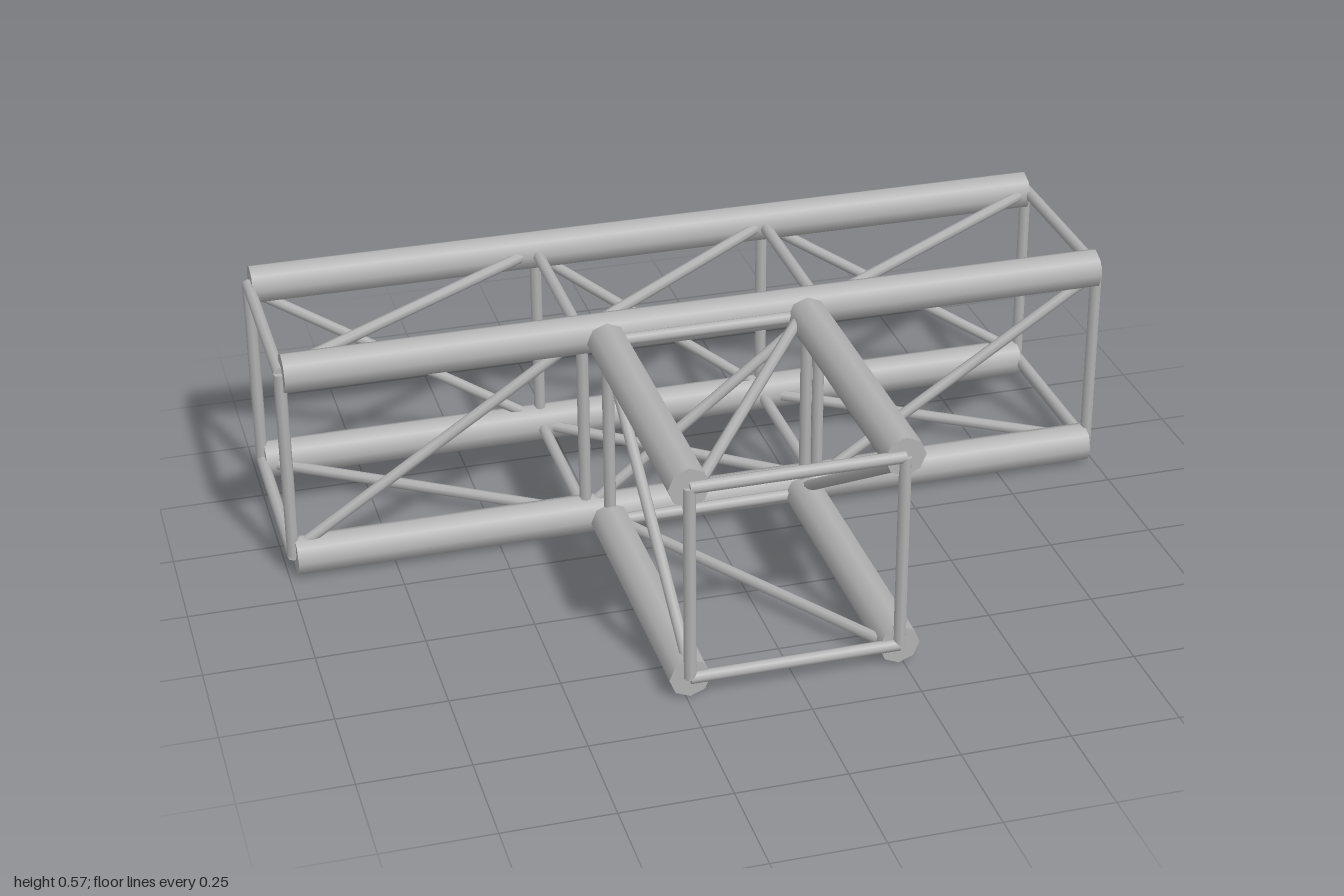
import * as THREE from 'three';

export function createModel() {
  const model = new THREE.Group();
  const steel = new THREE.MeshStandardMaterial({ color: 0xb2b2b2 });
  steel.name = 'steel grey';

  const UP = new THREE.Vector3(0, 1, 0);
  const LOW = 0.048, HIGH = 0.524;     // chord heights
  const FRONT = -0.122, BACK = -0.593; // main beam chord depths
  const SIDE = 0.24;                   // branch chord offset
  const CHORD = 0.047, STRUT = 0.0145, BRACE = 0.0135;

  // Round tube between two points
  function tube(name, a, b, radius, parent) {
    const from = new THREE.Vector3(...a), to = new THREE.Vector3(...b);
    const dir = to.clone().sub(from);
    const mesh = new THREE.Mesh(new THREE.CylinderGeometry(radius, radius, dir.length(), 8), steel);
    mesh.quaternion.setFromUnitVectors(UP, dir.normalize());
    mesh.position.copy(from).add(to).multiplyScalar(0.5);
    mesh.name = name;
    parent.add(mesh);
  }

  // Closed rectangle of struts through four corners
  function frame(name, corners, parent) {
    const group = new THREE.Group();
    group.name = name;
    corners.forEach((c, i) => tube('strut', c, corners[(i + 1) % 4], STRUT, group));
    parent.add(group);
  }

  // Main beam along x
  const beam = new THREE.Group();
  beam.name = 'mainBeam';
  model.add(beam);
  for (const y of [LOW, HIGH])
    for (const z of [FRONT, BACK]) tube('beamChord', [-0.98, y, z], [0.98, y, z], CHORD, beam);

  for (const x of [-0.985, -0.287, 0.287, 0.985])
    frame('beamFrame', [[x, LOW, FRONT], [x, HIGH, FRONT], [x, HIGH, BACK], [x, LOW, BACK]], beam);

  // One brace per face in each bay, crossing the brace on the opposite face
  const inset = 0.023;
  const yLo = LOW + inset, yHi = HIGH - inset, zF = FRONT - inset, zB = BACK + inset;
  for (const [x0, x1] of [[-0.97, -0.315], [-0.275, 0.275], [0.315, 0.97]]) {
    tube('topBrace', [x0, HIGH, zF], [x1, HIGH, zB], BRACE, beam);
    tube('bottomBrace', [x1, LOW, zF], [x0, LOW, zB], BRACE, beam);
    tube('frontBrace', [x0, yLo, FRONT], [x1, yHi, FRONT], BRACE, beam);
    tube('backBrace', [x0, yHi, BACK], [x1, yLo, BACK], BRACE, beam);
  }

  // Branch along z
  const branch = new THREE.Group();
  branch.name = 'branch';
  model.add(branch);
  for (const x of [-SIDE, SIDE])
    for (const y of [LOW, HIGH]) tube('branchChord', [x, y, -0.07], [x, y, 0.627], CHORD, branch);

  for (const z of [-0.07, 0.626])
    frame('branchFrame', [[-SIDE, LOW, z], [-SIDE, HIGH, z], [SIDE, HIGH, z], [SIDE, LOW, z]], branch);

  const near = 0.615, far = -0.06, xi = SIDE - inset;
  tube('topBrace', [-xi, HIGH, near], [xi, HIGH, far], BRACE, branch);
  tube('bottomBrace', [xi, LOW, near], [-xi, LOW, far], BRACE, branch);
  tube('rightBrace', [-SIDE, yLo, near], [-SIDE, yHi, far], BRACE, branch);
  tube('leftBrace', [SIDE, yHi, near], [SIDE, yLo, far], BRACE, branch);

  return model;
}
